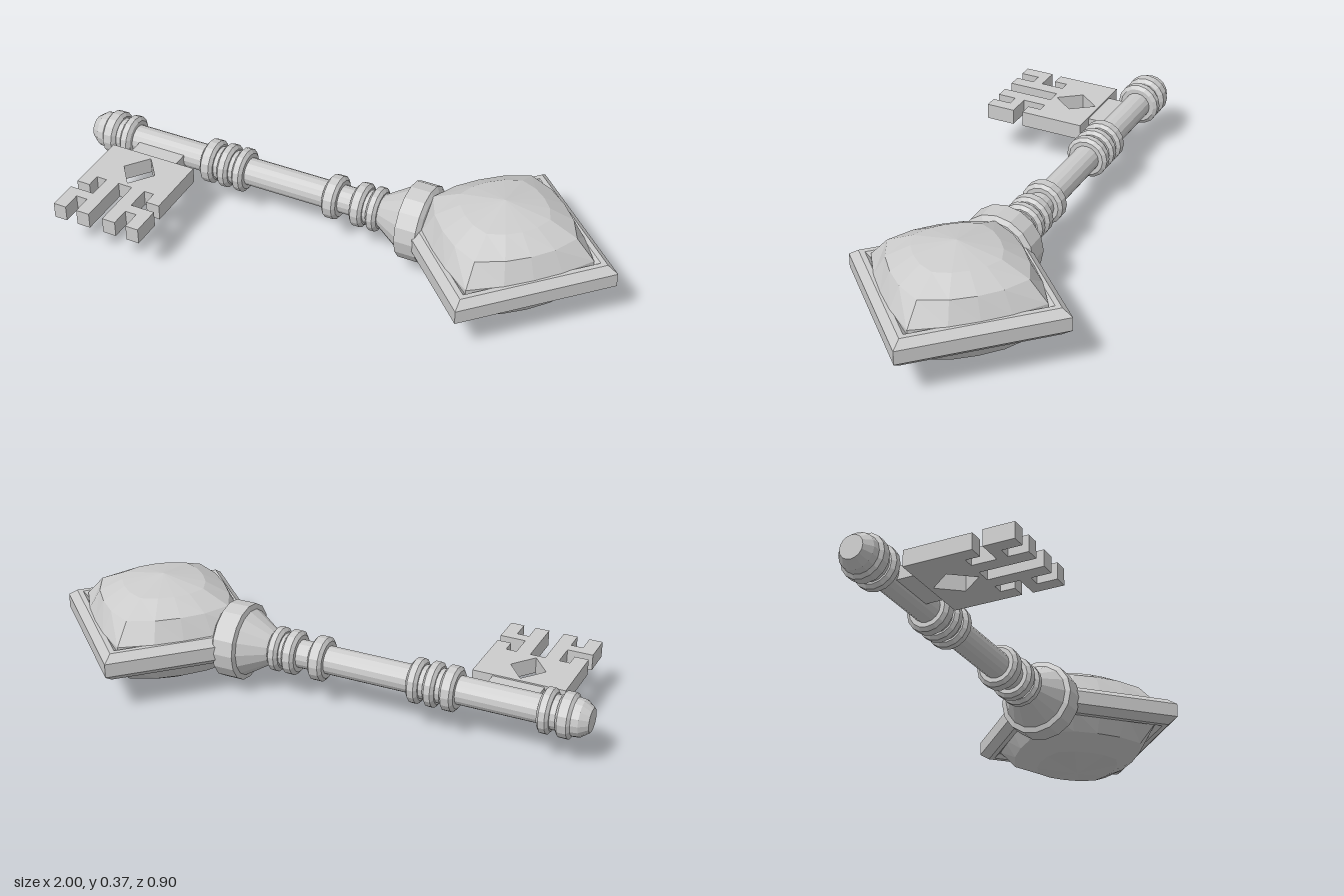
import * as THREE from 'three';

const AXIS_Y = 0.18, AXIS_Z = -0.045, HEAD_X = 0.59;

export function createModel() {
  const group = new THREE.Group();
  const mat = new THREE.MeshStandardMaterial({ color: 0xcccccc, flatShading: true });

  function add(name, geometry, x = 0, y = 0, z = 0) {
    const mesh = new THREE.Mesh(geometry, mat);
    mesh.name = name;
    mesh.position.set(x, y, z);
    group.add(mesh);
    return mesh;
  }
  const lathe = (pts, sides) =>
    new THREE.LatheGeometry(pts.map(([r, h]) => new THREE.Vector2(r, h)), sides);
  // Turned part along the shaft, profile given as [radius, x]
  const turned = (name, pts, sides = 16) =>
    add(name, lathe(pts, sides).rotateZ(-Math.PI / 2), 0, AXIS_Y, AXIS_Z);

  // Shaft with a blunt tip
  turned('shaft', [[0.05, -0.95], [0.05, 0.3]]);
  turned('tip', [[0, -1], [0.042, -1], [0.064, -0.97], [0.067, -0.94], [0.05, -0.93]]);

  // Ring collars with bevelled rims
  const collars = [[-0.945, -0.893], [-0.872, -0.83], [-0.54, -0.49], [-0.472, -0.43],
    [-0.412, -0.37], [-0.058, -0.005], [0.048, 0.095], [0.11, 0.15]];
  for (const [a, b] of collars) {
    turned('collar', [[0, a], [0.066, a], [0.079, a + 0.01], [0.079, b - 0.01], [0.066, b], [0, b]]);
  }
  // Narrow necks between grouped collars
  for (const [a, b] of [[-0.9, -0.86], [-0.5, -0.4], [0.09, 0.16]]) {
    turned('collarNeck', [[0, a], [0.06, a], [0.06, b], [0, b]]);
  }

  // Flared socket that holds the head
  turned('socket', [[0.055, 0.145], [0.065, 0.16], [0.118, 0.245], [0.137, 0.25],
    [0.137, 0.325], [0.12, 0.336], [0, 0.336]]);

  // Diamond frame, bevelled on both faces
  add('headFrame', lathe([[0, -0.035], [0.325, -0.035], [0.345, -0.05], [0.37, -0.05], [0.407, -0.025],
    [0.407, 0.025], [0.37, 0.05], [0.345, 0.05], [0.325, 0.035], [0, 0.035]], 4),
  HEAD_X, AXIS_Y, AXIS_Z);

  // Faceted gem: rings go from nearly round at the poles to diamond at the waist
  const gem = lathe([[0, -0.185], [0.16, -0.157], [0.257, -0.112], [0.322, -0.04],
    [0.322, 0.04], [0.257, 0.112], [0.16, 0.157], [0, 0.185]], 16);
  const pos = gem.attributes.position;
  for (let i = 0; i < pos.count; i++) {
    const x = pos.getX(i), z = pos.getZ(i), r = Math.hypot(x, z);
    if (r < 1e-6) continue;
    const p = 1.08 + 0.5 * Math.abs(pos.getY(i)) / 0.185;
    const f = Math.pow(Math.abs(x / r) ** p + Math.abs(z / r) ** p, -1 / p);
    pos.setX(i, x * f);
    pos.setZ(i, z * f);
  }
  gem.computeVertexNormals();
  add('gem', gem, HEAD_X, 0.19, AXIS_Z);

  // Key bit: half outline as [distance from centre line, z], mirrored
  const half = [[0.165, 0.06], [0.165, 0.3], [0.115, 0.3], [0.115, 0.25], [0.077, 0.25],
    [0.077, 0.337], [0.168, 0.337], [0.168, 0.445], [0.12, 0.445], [0.12, 0.375],
    [0.077, 0.375], [0.077, 0.445], [0.027, 0.445], [0.027, 0.25]];
  const outline = [...half.map(([x, z]) => [-x, z]), ...half.slice().reverse()];
  const shape = new THREE.Shape(outline.map(([x, z]) => new THREE.Vector2(x, z)));
  shape.holes.push(new THREE.Path(
    [[0, 0.075], [0.063, 0.155], [0, 0.235], [-0.063, 0.155]].map(([x, z]) => new THREE.Vector2(x, z))));
  const bit = new THREE.ExtrudeGeometry(shape, { depth: 0.058, bevelEnabled: false });
  add('keyBit', bit.rotateX(Math.PI / 2), -0.707, 0.205, 0);
  add('bitStem', new THREE.BoxGeometry(0.184, 0.048, 0.1), -0.707, 0.176, 0.011);

  return group;
}
